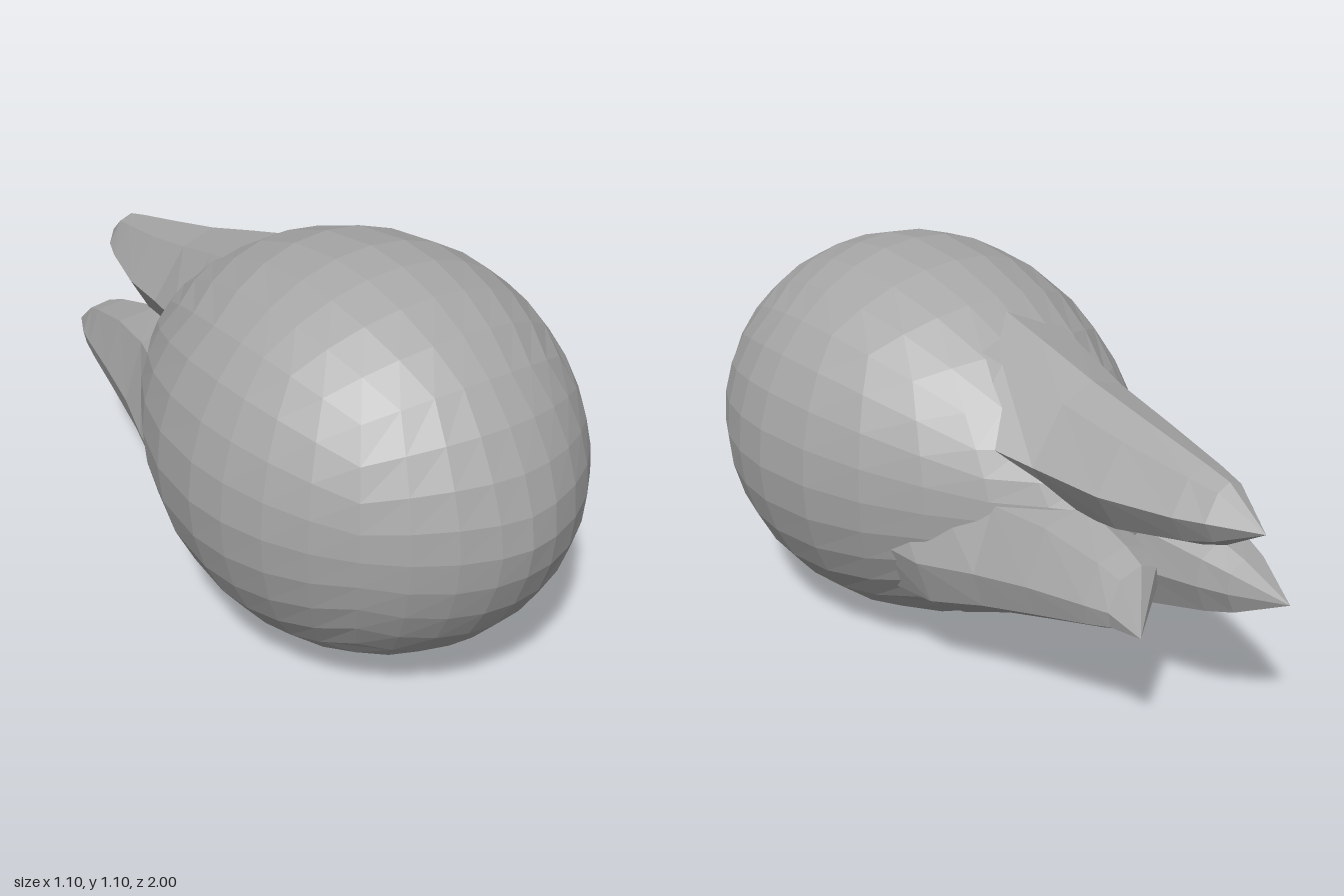
import * as THREE from 'three';

const CENTRE_Y = 0.547;

// Bulb: a subdivided cube rounded to a sphere, then reshaped so the back tapers
function bulbGeometry() {
  const geo = new THREE.BoxGeometry(2, 2, 2, 8, 8, 8);
  const pos = geo.attributes.position;
  const d = new THREE.Vector3();
  const even = (t) => Math.tan((t * Math.PI) / 4);
  for (let i = 0; i < pos.count; i++) {
    d.set(even(pos.getX(i)), even(pos.getY(i)), even(pos.getZ(i))).normalize();
    const sin = Math.hypot(d.x, d.y);
    const front = d.z > 0;
    const r = 0.55 * Math.pow(sin, front ? 1.15 : 2);
    const k = sin > 1e-6 ? r / sin : 0;
    pos.setXYZ(i, d.x * k, d.y * k, 0.35 + d.z * (front ? 0.65 : 0.95));
  }
  geo.computeVertexNormals();
  return geo;
}

// Prong stations: z, outer radius, inner radius, half width
const STATIONS = [
  [0.25, 0.5, 0.1, 0.34],
  [0, 0.46, 0, 0.33],
  [-0.2, 0.405, 0, 0.26],
  [-0.4, 0.348, -0.02, 0.2],
  [-0.6, 0.302, -0.01, 0.165],
  [-0.8, 0.258, 0.04, 0.11],
  [-0.88, 0.238, 0.07, 0.08],
];

// Cross-section: rounded outside, wedge inside (radial fraction, sideways fraction)
const SECTION = [
  [1, 0], [0.9, 0.5], [0.5, 1], [0.15, 0.6],
  [0, 0], [0.15, -0.6], [0.5, -1], [0.9, -0.5],
];

// Loft one prong along -z, pointing outwards at the given angle
function prongGeometry(angle, length, tipRadius, widen) {
  const c = Math.cos(angle), s = Math.sin(angle);
  const n = SECTION.length;
  const points = [], index = [];
  const rings = [...STATIONS, [-1, tipRadius, tipRadius, 0]];
  rings.forEach(([z, outer, inner, half], i) => {
    const grow = i > 1 && i < rings.length - 1 ? widen : 1;
    for (const [a, b] of SECTION) {
      const u = inner + (outer * grow - inner) * a;
      const v = half * b;
      points.push(c * u - s * v, s * u + c * v, z < 0 ? z * length : z);
    }
    if (i === 0) return;
    for (let j = 0; j < n; j++) {
      const k = (j + 1) % n;
      const p = (i - 1) * n, q = i * n;
      index.push(p + j, q + j, p + k);
      if (i < rings.length - 1) index.push(p + k, q + j, q + k);
    }
  });
  const geo = new THREE.BufferGeometry();
  geo.setAttribute('position', new THREE.Float32BufferAttribute(points, 3));
  geo.setIndex(index);
  geo.computeVertexNormals();
  return geo;
}

export function createModel() {
  const group = new THREE.Group();
  const grey = new THREE.MeshStandardMaterial({ color: 0xa6a6a6, flatShading: true });
  grey.name = 'grey';

  const add = (name, geometry) => {
    const mesh = new THREE.Mesh(geometry, grey);
    mesh.name = name;
    mesh.position.y = CENTRE_Y;
    group.add(mesh);
  };

  add('bulb', bulbGeometry());

  // Three tail prongs of differing length
  const deg = Math.PI / 180;
  add('topProng', prongGeometry(89 * deg, 1, 0.145, 1));
  add('rightProng', prongGeometry(217 * deg, 0.965, 0.19, 1.03));
  add('leftProng', prongGeometry(-38 * deg, 0.8, 0.25, 1.1));

  return group;
}
